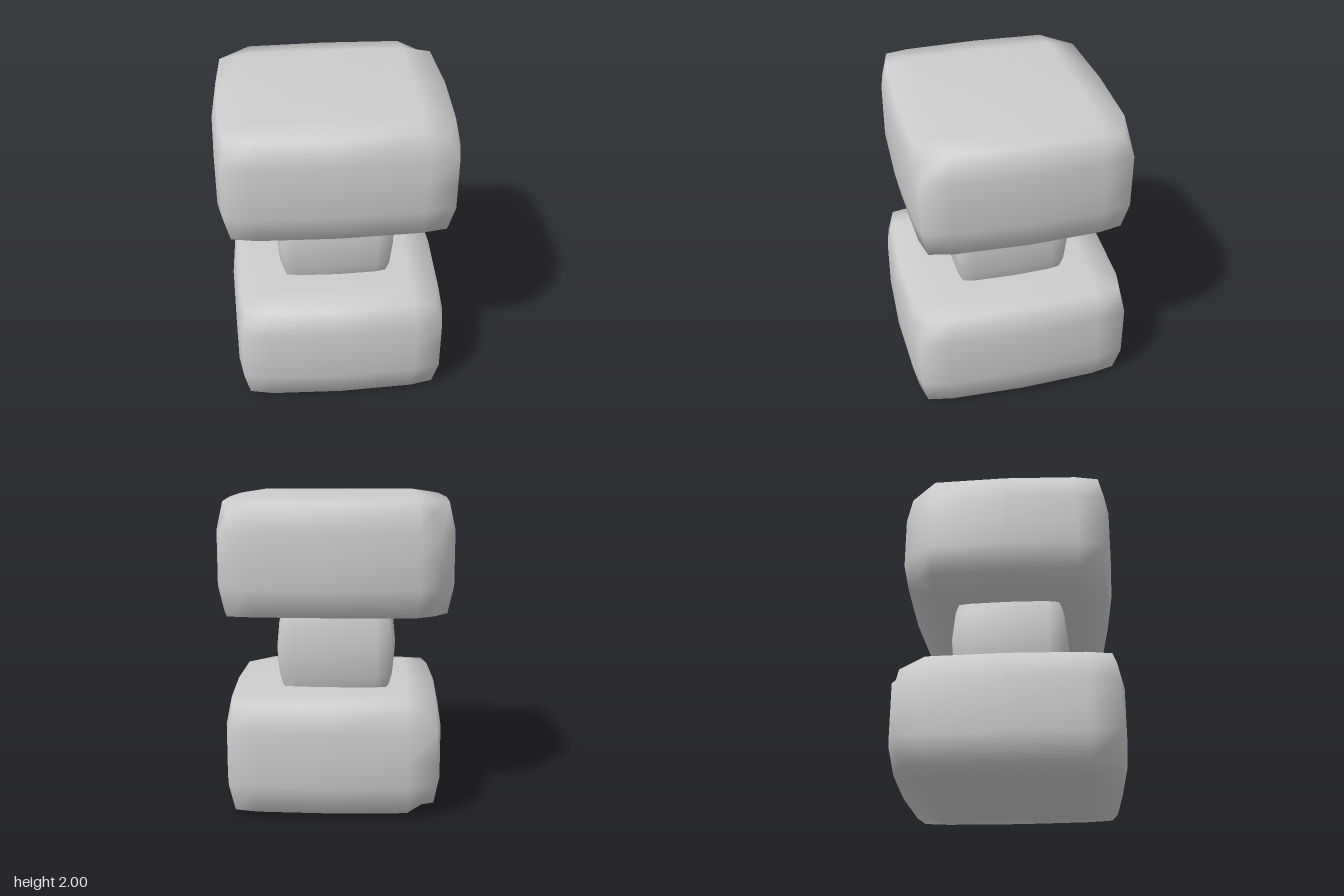
import * as THREE from 'three';
import { mergeVertices } from 'three/addons/utils/BufferGeometryUtils.js';

const material = new THREE.MeshStandardMaterial({ color: 0xcccccc });

// A worn stone: a 4 x 4 x 4 box grid whose faces bulge and whose edges are rounded.
// half: half sizes, waist: how far the sides draw in towards top and bottom,
// chips: corners [sx, sy, sz, dx, dy, dz] pulled inwards (sy = 0 means full height).
function stone(name, half, centre, waist, chips = []) {
  let geo = new THREE.BoxGeometry(4, 4, 4, 4, 4, 4);
  geo.deleteAttribute('uv');
  geo.deleteAttribute('normal');
  geo = mergeVertices(geo);
  const pos = geo.attributes.position;
  const side = [0, 0.025, 0.07];   // inward pull along the horizontal
  const lid = [0, 0.015, 0.09];    // pull of top and bottom towards the rim
  const level = [[0, 0.7, 1], [0, 0.47, 1], [0, 0.7, 1]];

  for (let v = 0; v < pos.count; v++) {
    const g = [pos.getX(v), pos.getY(v), pos.getZ(v)].map(Math.round);
    const [i, j, k] = g.map(Math.abs);
    const pull = [side[k] + waist[j], Math.max(lid[i], lid[k]), side[i] + waist[j]];
    const p = g.map((n, a) => {
      const m = Math.abs(n);
      return Math.sign(n) * half[a] * level[a][m] * (1 - (m === 2 ? pull[a] : pull[a] * 0.4));
    });
    for (const [sx, sy, sz, ...d] of chips) {
      if (g[0] === 2 * sx && g[2] === 2 * sz && (sy === 0 || g[1] === 2 * sy)) {
        d.forEach((amount, a) => { p[a] -= Math.sign(g[a]) * amount; });
      }
    }
    pos.setXYZ(v, p[0], p[1], p[2]);
  }
  geo.computeVertexNormals();
  const mesh = new THREE.Mesh(geo, material);
  mesh.name = name;
  mesh.position.set(...centre);
  return mesh;
}

export function createModel() {
  const group = new THREE.Group();
  group.name = 'stackedStones';
  const blockWaist = [0, 0, 0.05];

  // Wide base stone
  group.add(stone('baseStone', [0.70, 0.384, 0.74], [0.012, 0.384, 0], blockWaist, [
    [-1, 1, -1, 0.05, 0.05, 0.05],
    [-1, -1, -1, 0.04, 0.04, 0.04],
    [1, 1, 1, 0.02, 0.03, 0.02],
  ]));

  // Narrow neck stone, slightly barrel-shaped
  group.add(stone('neckStone', [0.393, 0.38, 0.39], [0.003, 1.01, 0], [0, 0.04, 0.16]));

  // Wide cap stone with worn corners
  group.add(stone('capStone', [0.755, 0.38, 0.69], [-0.002, 1.62, 0], blockWaist, [
    [-1, 0, -1, 0.05, 0, 0.04],
    [-1, 1, -1, 0.02, 0.05, 0.02],
    [1, 1, 1, 0.03, 0.06, 0.03],
    [1, 1, -1, 0.02, 0.05, 0.02],
  ]));

  return group;
}
